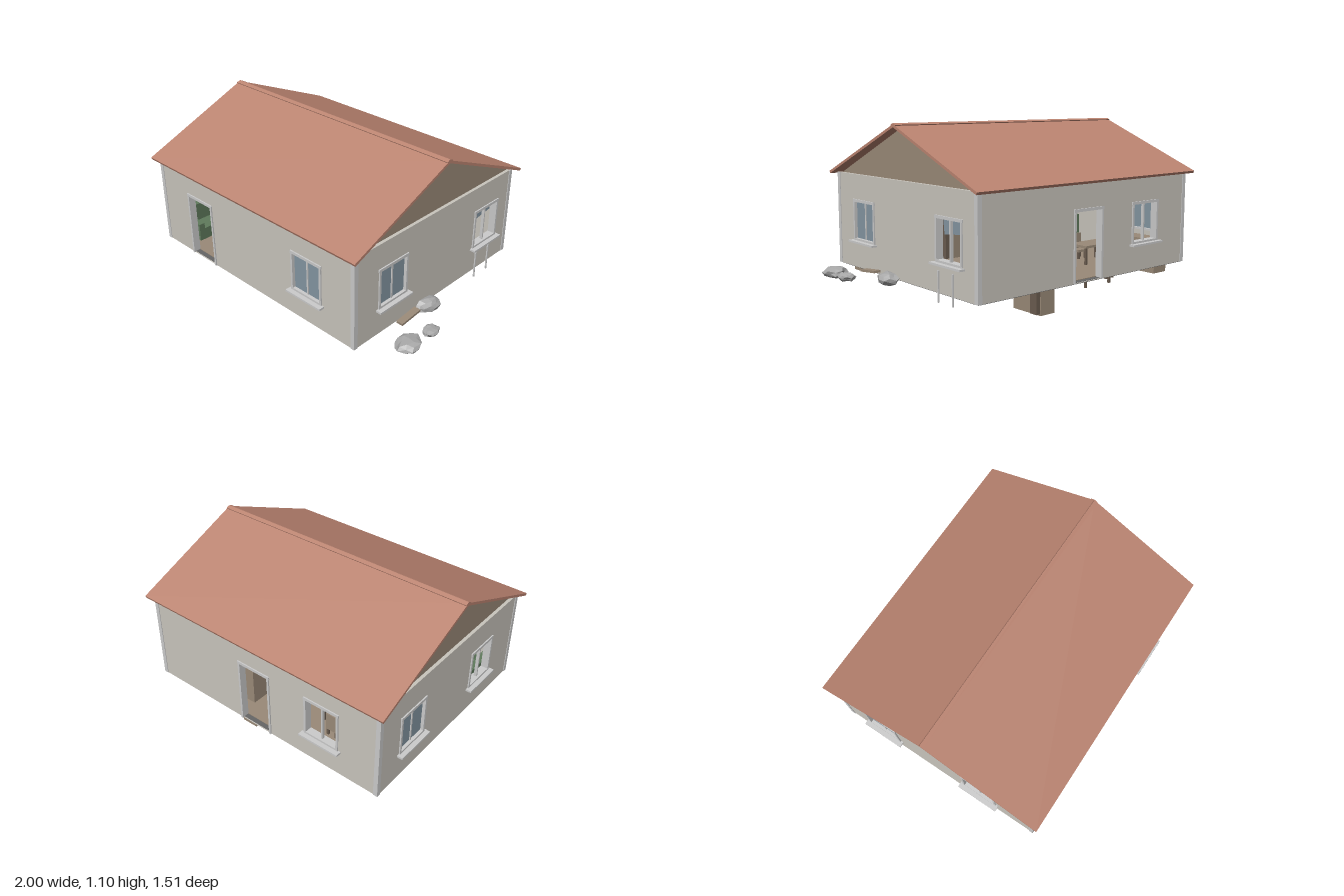
import * as THREE from 'three';

const mat = (color, extra = {}) => new THREE.MeshStandardMaterial({ color, ...extra });
const M = {
  wall: mat(0xc9c5bd), trim: mat(0xcccccc), roof: mat(0xbb8471), wood: mat(0x9a8a78),
  darkWood: mat(0x6b5d50), green: mat(0x5f7a5c), glass: mat(0x8496a2), slab: mat(0x666666),
  rock: mat(0xa8a8a8, { flatShading: true }),
};
const FLOOR = 0.19, EAVES = 0.775, T = 0.035;   // floor level, wall top, wall thickness
const X0 = -0.96, X1 = 0.745, Z = 0.71, CX = (X0 + X1) / 2;

function mesh(parent, name, geo, material) {
  const m = new THREE.Mesh(geo, material);
  m.name = name;
  parent.add(m);
  return m;
}

// Box given by its limits on each axis
function box(parent, name, material, [x0, x1], [y0, y1], [z0, z1]) {
  const m = mesh(parent, name, new THREE.BoxGeometry(x1 - x0, y1 - y0, z1 - z0), material);
  m.position.set((x0 + x1) / 2, (y0 + y1) / 2, (z0 + z1) / 2);
  return m;
}

function group(parent, name) {
  const g = new THREE.Group();
  g.name = name;
  parent.add(g);
  return g;
}

// Frame of an opening: two jambs, a head and, for windows, a bottom rail
function frame(g, u, hw, y0, y1, rail) {
  const w = 0.014, d = [-T - 0.004, 0.008];
  for (const s of [-1, 1]) {
    const e = u + s * hw;
    box(g, 'jamb', M.trim, [e - w / 2, e + w / 2], [y0, y1], d);
  }
  box(g, 'head', M.trim, [u - hw - 0.01, u + hw + 0.01], [y1 - w, y1 + 0.003], d);
  if (rail) box(g, 'bottomRail', M.trim, [u - hw, u + hw], [y0, y0 + w], d);
}

function addWindow(wall, { u, glazed, tilted }) {
  const g = group(wall, 'window'), hw = 0.113, y0 = 0.36, y1 = 0.617;
  frame(g, u, hw, y0, y1, true);
  box(g, 'sill', M.trim, [u - 0.137, u + 0.137], [0.35, 0.362], [-T, 0.037]);
  box(g, 'mullion', M.trim, [u - 0.005, u + 0.005], [y0, y1], [-0.025, -0.006]);
  if (glazed) box(g, 'glass', M.glass, [u - hw, u + hw], [y0, y1], [-0.02, -0.012]);
  if (tilted) {
    const p = box(g, 'tiltedPane', M.glass, [u - 0.105, u + 0.105], [0.52, 0.605], [-0.05, -0.044]);
    p.rotation.z = 0.13;
  }
}

// Wall in its own frame: x along the wall, z outward, outer face at z = 0
function addWall(house, name, half, turn, pos, windows, door) {
  const g = group(house, name);
  const s = new THREE.Shape([[-half, FLOOR], [half, FLOOR], [half, EAVES], [-half, EAVES]]
    .map(p => new THREE.Vector2(...p)));
  const cut = (u, hw, y0, y1) => s.holes.push(new THREE.Path(
    [[u - hw, y0], [u - hw, y1], [u + hw, y1], [u + hw, y0]].map(p => new THREE.Vector2(...p))));
  windows.forEach(w => cut(w.u, 0.11, 0.365, 0.612));
  if (door !== undefined) cut(door, 0.112, FLOOR + 0.004, 0.612);
  const geo = new THREE.ExtrudeGeometry(s, { depth: T, bevelEnabled: false });
  geo.translate(0, 0, -T);
  mesh(g, 'wallPanel', geo, M.wall);
  windows.forEach(w => addWindow(g, w));
  if (door !== undefined) frame(group(g, 'doorFrame'), door, 0.113, FLOOR, 0.618, false);
  g.rotation.y = turn;
  g.position.set(...pos);
}

function addRoof(house) {
  const g = group(house, 'roof');
  const X = [-1, 0.785], ridge = 1.09, drop = 0.315, run = 0.75;
  const len = Math.hypot(run, drop), angle = Math.atan2(drop, run);
  for (const s of [-1, 1]) {
    const p = box(g, 'roofSlope', M.roof, X, [-0.008, 0.008], [-len / 2, len / 2]);
    p.position.set((X[0] + X[1]) / 2, ridge - drop / 2 - 0.002, s * run / 2);
    p.rotation.x = s * angle;
    const cap = box(g, 'ridgeCap', M.roof, X, [-0.006, 0.006], [-0.012, 0.012]);
    cap.position.set((X[0] + X[1]) / 2, 1.092, s * 0.011);
    cap.rotation.x = s * angle;
  }
  // Gable ends and ceiling as one prism
  const tri = new THREE.Shape([new THREE.Vector2(-0.69, EAVES), new THREE.Vector2(0.69, EAVES),
    new THREE.Vector2(0, 1.077)]);
  const geo = new THREE.ExtrudeGeometry(tri, { depth: X1 - X0 - 0.04, bevelEnabled: false });
  geo.rotateY(Math.PI / 2);
  mesh(g, 'gable', geo, M.wood).position.x = X0 + 0.02;
}

// Table or chair: a top on four legs, with an optional back
function addLegged(parent, name, x, z, w, d, top, foot, back) {
  const g = group(parent, name);
  box(g, 'top', M.wood, [x - w, x + w], [top - 0.015, top], [z - d, z + d]);
  for (const sx of [-1, 1]) for (const sz of [-1, 1]) {
    const lx = x + sx * (w - 0.01), lz = z + sz * (d - 0.01);
    box(g, 'leg', M.darkWood, [lx - 0.007, lx + 0.007], [foot, top - 0.015], [lz - 0.007, lz + 0.007]);
  }
  if (back) box(g, 'back', M.wood, [x - w, x + w], [top, top + 0.1],
    back < 0 ? [z - d, z - d + 0.012] : [z + d - 0.012, z + d]);
}

function addFurniture(house) {
  const g = group(house, 'furniture');
  // Tall cupboards that reach below the floor, with a door panel on one side
  for (const [z0, z1] of [[0.285, 0.52], [-0.58, -0.345]]) {
    box(g, 'cupboard', M.wood, [0.07, 0.18], [0, 0.56], [z0, z1]);
    box(g, 'cupboardDoor', M.darkWood, [0.18, 0.21], [0.01, 0.56], [z0 + 0.005, z0 + 0.06]);
  }
  // Sofa and armchair
  const sofa = group(g, 'sofa');
  box(sofa, 'seat', M.green, [-0.92, -0.75], [0.175, 0.28], [0.18, 0.61]);
  box(sofa, 'back', M.green, [-0.92, -0.87], [0.28, 0.4], [0.18, 0.61]);
  for (const z of [0.18, 0.57]) box(sofa, 'arm', M.green, [-0.92, -0.75], [0.28, 0.32], [z, z + 0.04]);
  const chair = group(g, 'armchair');
  box(chair, 'seat', M.green, [-0.58, -0.41], [0.175, 0.27], [-0.03, 0.15]);
  box(chair, 'back', M.green, [-0.57, -0.41], [0.27, 0.33], [-0.03, 0.01]);
  box(g, 'lowTable', M.wood, [-0.33, -0.24], [0.15, 0.26], [0.2, 0.42]);
  box(g, 'sideboard', M.wood, [-0.92, -0.8], [0.11, 0.33], [-0.61, -0.13]);
  // Dining set
  addLegged(g, 'diningTable', -0.47, -0.36, 0.12, 0.07, 0.32, 0.05);
  for (const s of [-1, 1]) addLegged(g, 'diningChair', -0.485, -0.36 + s * 0.12, 0.04, 0.035, 0.26, 0.11, s);
  // Bed and bedside table
  const bed = group(g, 'bed');
  box(bed, 'base', M.wood, [0.3, 0.62], [0.178, 0.25], [0.21, 0.5]);
  box(bed, 'mattress', M.trim, [0.31, 0.61], [0.25, 0.29], [0.22, 0.49]);
  box(g, 'bedsideTable', M.wood, [0.6, 0.7], [0.15, 0.28], [0.53, 0.61]);
  // Bathtub: four sides and a bottom
  const tub = group(g, 'bathtub');
  for (const z of [-0.13, 0.0]) box(tub, 'longSide', M.trim, [-0.02, 0.3], [0.145, 0.3], [z, z + 0.02]);
  for (const x of [-0.02, 0.28]) box(tub, 'shortSide', M.trim, [x, x + 0.02], [0.145, 0.3], [-0.11, 0]);
  box(g, 'basin', M.trim, [0.58, 0.66], [0.15, 0.3], [-0.055, 0.02]);
  for (const z of [-0.42, -0.31]) box(g, 'thinLeg', M.darkWood, [0.5, 0.51], [0.15, 0.3], [z, z + 0.01]);
}

// Flattened, faceted boulder
function addRock(parent, seed, pos, size) {
  const geo = new THREE.IcosahedronGeometry(1, 1), p = geo.attributes.position;
  const v = new THREE.Vector3();
  for (let i = 0; i < p.count; i++) {
    v.fromBufferAttribute(p, i);
    const k = 0.9 + 0.17 * Math.sin(v.x * 5 + seed) * Math.cos(v.z * 4 + v.y * 3 + seed * 2);
    p.setXYZ(i, v.x * k, v.y * k, v.z * k);
  }
  geo.scale(...size);
  geo.computeVertexNormals();
  mesh(parent, 'rock', geo, M.rock).position.set(...pos);
}

export function createModel() {
  const house = new THREE.Group();
  house.name = 'house';

  // Floor
  box(house, 'floorSlab', M.slab, [X0 + 0.005, X1 - 0.005], [0.186, 0.196], [-Z + 0.005, Z - 0.005]);
  box(house, 'floorBoards', M.wood, [X0 + T, X1 - T], [0.196, 0.2], [-Z + T, Z - T]);

  // Walls
  const hx = (X1 - X0) / 2, q = Math.PI / 2;
  addWall(house, 'frontWall', hx, 0, [CX, 0, Z], [{ u: 0.38 - CX, glazed: true }], -0.57 - CX);
  addWall(house, 'backWall', hx, Math.PI, [CX, 0, -Z], [{ u: 0.57 + CX }], 0.07 + CX);
  addWall(house, 'leftWall', Z, q, [X1, 0, 0],
    [{ u: -0.4, glazed: true }, { u: 0.465, tilted: true }]);
  addWall(house, 'rightWall', Z, -q, [X0, 0, 0], [{ u: -0.4, glazed: true }, { u: 0.32 }]);
  for (const x of [X0, X1 - 0.02]) for (const z of [-Z, Z - 0.02])
    box(house, 'cornerPost', M.trim, [x - 0.004, x + 0.024], [FLOOR, EAVES], [z - 0.004, z + 0.024]);

  addRoof(house);
  addFurniture(house);

  // Yard: boulders, plank and a pair of stakes
  const yard = group(house, 'yard');
  addRock(yard, 1, [0.92, 0.188, 0.46], [0.082, 0.04, 0.092]);
  addRock(yard, 2.5, [0.94, 0.192, 0.29], [0.053, 0.03, 0.06]);
  addRock(yard, 4, [0.768, 0.19, 0.105], [0.07, 0.044, 0.092]);
  box(yard, 'plank', M.wood, [0.755, 0.8], [0.198, 0.212], [0.21, 0.37]).rotation.x = 0.1;
  for (const z of [-0.38, -0.51]) box(yard, 'stake', M.trim, [0.752, 0.76], [0.14, 0.32], [z - 0.004, z + 0.004]);

  return house;
}
